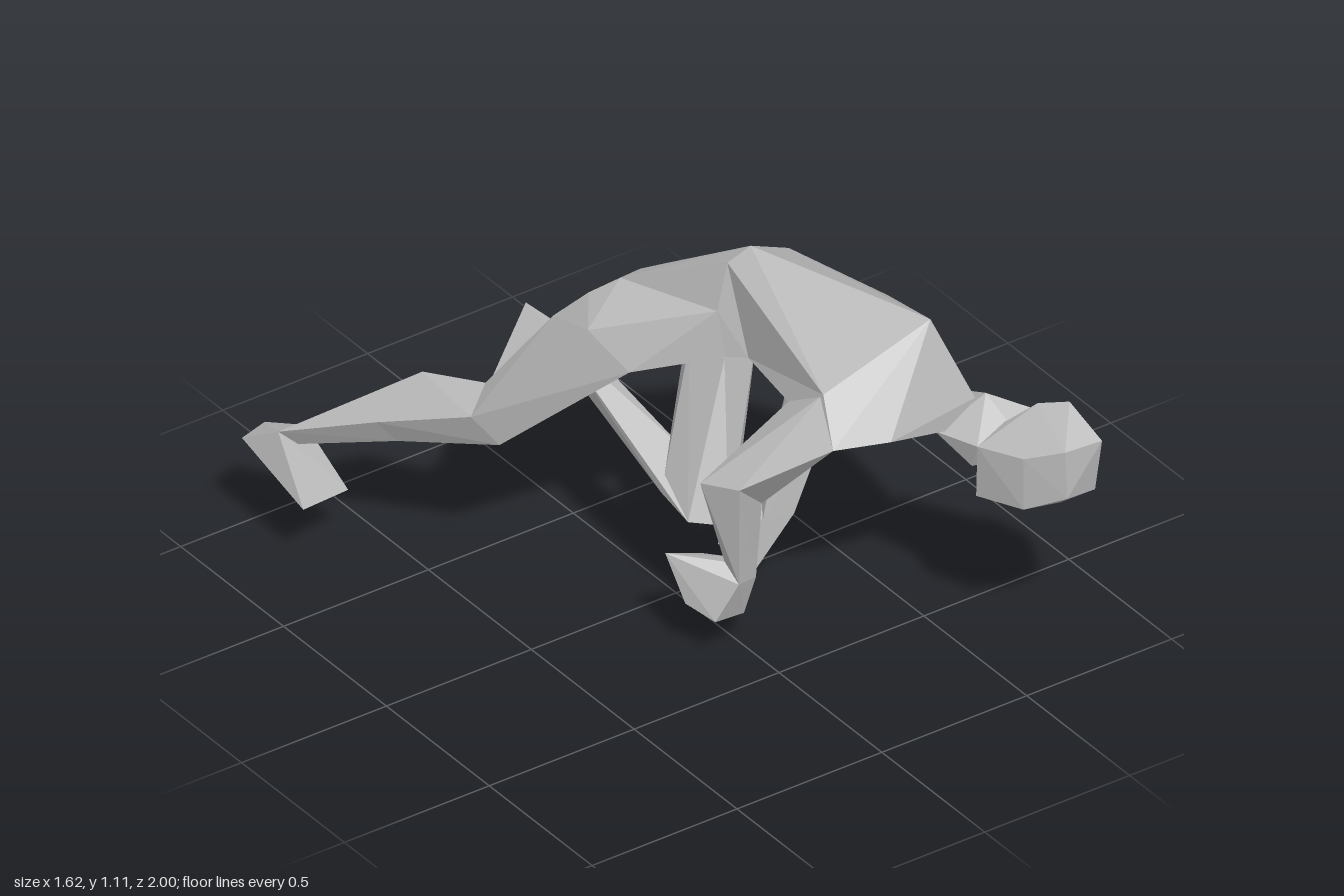
import * as THREE from 'three';
import { ConvexGeometry } from 'three/addons/geometries/ConvexGeometry.js';

const clay = new THREE.MeshStandardMaterial({ color: 0xb8b8b8 });
clay.name = 'grey clay';

// Faceted solid stretched over a few corner points
function solid(name, ...sections) {
  const pts = sections.flat().map((p) => new THREE.Vector3(...p));
  const mesh = new THREE.Mesh(new ConvexGeometry(pts), clay);
  mesh.name = name;
  return mesh;
}

// Limb: one faceted segment between each pair of neighbouring cross-sections
function limb(name, segmentNames, sections) {
  const g = new THREE.Group();
  g.name = name;
  segmentNames.forEach((n, i) => g.add(solid(n, sections[i], sections[i + 1])));
  return g;
}

export function createModel() {
  const model = new THREE.Group();
  model.name = 'crouchingFigure';

  // Trunk: the flank bridges the raised hip and the right shoulder
  const spine = [0.25, 1.08, 0.01];
  const raisedHip = [0.12, 1.11, 0.08];
  const belly = [0.15, 0.81, 0.14];
  const shoulderTop = [0.16, 0.87, 0.49];
  const waist = [spine, [0.41, 0.99, -0.03], [0.40, 0.87, -0.01], belly];
  const chest = [
    shoulderTop, [0.48, 1.04, 0.56], [0.57, 0.79, 0.65], [0.50, 0.71, 0.65],
    [0.28, 0.75, 0.65], [0.13, 0.74, 0.58], [0.63, 0.75, 0.31], [0.59, 0.885, 0.20],
    [0.51, 0.64, 0.52], [0.21, 0.66, 0.45],
  ];
  const hips = [
    raisedHip, [0.06, 0.93, -0.26], [0.14, 0.93, -0.24], [-0.03, 0.95, -0.23], [0.085, 0.96, 0.08],
    [0.20, 0.72, -0.23], [0.22, 0.67, -0.09], [0.10, 0.81, 0.10],
  ];
  model.add(
    solid('chest', waist, chest),
    solid('flank', [spine, raisedHip, belly, shoulderTop]),
    solid('pelvis', waist, hips),
  );

  // Neck and head
  model.add(solid('neck', [
    [0.60, 0.80, 0.66], [0.45, 0.71, 0.63], [0.51, 0.64, 0.53], [0.61, 0.75, 0.56], [0.62, 0.68, 0.66],
    [0.61, 0.75, 0.75], [0.50, 0.71, 0.76], [0.51, 0.62, 0.72], [0.60, 0.62, 0.72],
    [0.74, 0.64, 0.79], [0.72, 0.75, 0.77],
  ]));
  model.add(solid('head', [
    [0.74, 0.83, 0.87], [0.68, 0.81, 0.80], [0.805, 0.69, 0.90], [0.75, 0.59, 0.98],
    [0.76, 0.76, 1.0], [0.64, 0.76, 0.99], [0.64, 0.61, 1.0], [0.68, 0.535, 0.91],
    [0.56, 0.72, 0.90], [0.56, 0.55, 0.90], [0.51, 0.53, 0.74], [0.60, 0.53, 0.70],
    [0.50, 0.71, 0.76], [0.74, 0.58, 0.82], [0.75, 0.72, 0.78], [0.60, 0.75, 0.75],
  ]));

  // Arms, from shoulder to fingertips
  model.add(limb('leftArm', ['leftUpperArm', 'leftForearm', 'leftHand'], [
    [[0.59, 0.885, 0.20], [0.63, 0.75, 0.31], [0.50, 0.64, 0.32], [0.47, 0.82, 0.14]],
    [[0.34, 0.46, 0.03], [0.40, 0.51, -0.03], [0.46, 0.48, 0.02], [0.46, 0.54, 0.13], [0.42, 0.43, 0.07]],
    [[0.27, 0.16, 0.04], [0.30, 0.18, -0.03], [0.36, 0.16, -0.02], [0.34, 0.19, 0.095]],
    [[0.24, 0, 0.04], [0.31, 0.01, -0.04], [0.18, 0.07, -0.05], [0.25, 0.22, -0.085], [0.30, 0.10, -0.065]],
  ]));
  model.add(limb('rightArm', ['rightUpperArm', 'rightForearm', 'rightHand'], [
    [[0.16, 0.86, 0.48], [0.13, 0.74, 0.58], [0.20, 0.65, 0.45], [0.14, 0.78, 0.35]],
    [[-0.08, 0.60, 0.42], [-0.13, 0.58, 0.30], [0.04, 0.48, 0.36], [0, 0.58, 0.29]],
    [[-0.06, 0.26, 0.39], [0.02, 0.24, 0.36], [0, 0.28, 0.30], [-0.06, 0.30, 0.32]],
    [[-0.12, 0.14, 0.36], [0, 0.11, 0.33], [-0.18, 0.31, 0.20], [-0.16, 0.17, 0.27],
      [-0.06, 0.27, 0.21], [-0.03, 0.16, 0.23]],
  ]));

  // Right leg, stretched out behind
  model.add(limb('rightLeg', ['rightHip', 'rightThigh', 'rightCalf', 'rightShin', 'rightFoot'], [
    [[-0.03, 0.95, -0.23], [0.085, 0.96, 0.08], [0.10, 0.81, 0.10], [0.08, 0.76, -0.13]],
    [[-0.11, 0.91, -0.27], [-0.22, 0.905, -0.12], [-0.14, 0.78, -0.03], [-0.06, 0.77, -0.15], [-0.19, 0.83, -0.33]],
    [[-0.46, 0.58, -0.35], [-0.39, 0.48, -0.31], [-0.31, 0.52, -0.38], [-0.36, 0.62, -0.42]],
    [[-0.45, 0.595, -0.60], [-0.61, 0.485, -0.60], [-0.55, 0.41, -0.58]],
    [[-0.77, 0.38, -0.85], [-0.72, 0.33, -0.83], [-0.66, 0.35, -0.87]],
    [[-0.81, 0.31, -0.97], [-0.71, 0.31, -1.0], [-0.79, 0.205, -0.70], [-0.61, 0.185, -0.735]],
  ]));

  // Left leg, knee folded under the body
  model.add(limb('leftLeg', ['leftThigh', 'leftShin', 'leftFoot'], [
    [[0.22, 0.66, -0.09], [0.20, 0.73, -0.22], [0.11, 0.79, 0.08], [0.27, 0.82, 0.02], [0.08, 0.78, -0.05]],
    [[0.01, 0.35, 0.24], [-0.08, 0.36, 0.17], [0.08, 0.33, 0.17], [0.07, 0.27, 0.05],
      [-0.08, 0.39, 0.04], [0.02, 0.48, 0.02]],
    [[-0.09, 0.66, -0.46], [-0.02, 0.63, -0.46], [-0.05, 0.54, -0.48]],
    [[-0.10, 0.70, -0.59], [-0.03, 0.60, -0.62], [-0.32, 0.41, -0.54], [-0.19, 0.30, -0.62]],
  ]));

  return model;
}
